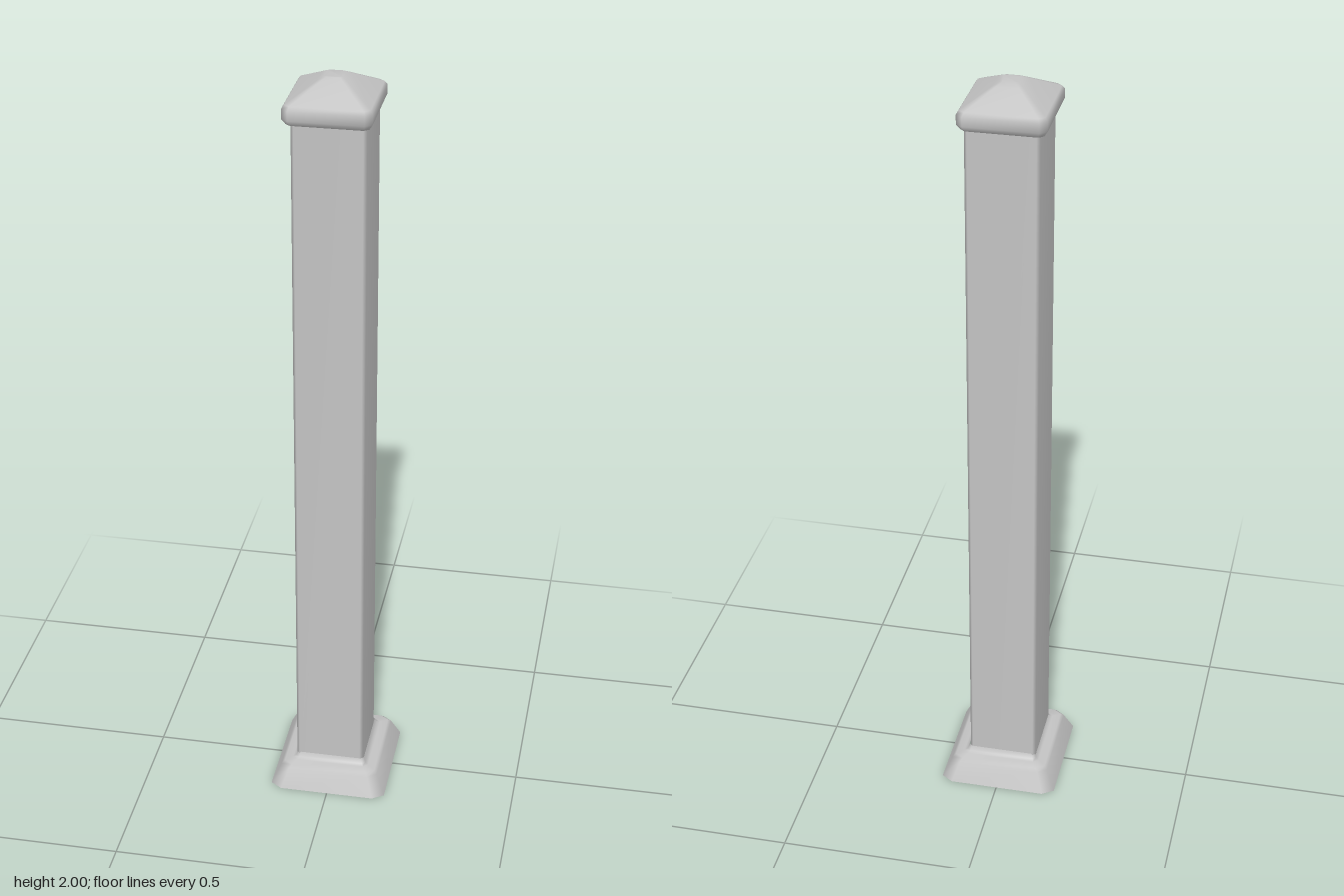
import * as THREE from 'three';

const castMetal = new THREE.MeshStandardMaterial({ color: 0xc3c3c3, side: THREE.DoubleSide });
castMetal.name = 'light grey metal';

// Lofts rectangles with cut corners; each ring is [halfX, halfZ, y, cutX, cutZ].
function loft(name, rings, centreX, closeTop = false) {
  const positions = [];
  const index = [];
  for (const [w, d, y, cx, cz] of rings) {
    const corners = [
      [w, d - cz], [w - cx, d], [cx - w, d], [-w, d - cz],
      [-w, cz - d], [cx - w, -d], [w - cx, -d], [w, cz - d],
    ];
    for (const [x, z] of corners) positions.push(x + centreX, y, z);
  }
  for (let r = 0; r < rings.length - 1; r++) {
    for (let i = 0; i < 8; i++) {
      const a = r * 8 + i;
      const b = r * 8 + (i + 1) % 8;
      index.push(a, a + 8, b, b, a + 8, b + 8);
    }
  }
  if (closeTop) {
    const top = (rings.length - 1) * 8;
    for (let i = 1; i < 7; i++) index.push(top, top + i + 1, top + i);
  }
  const geometry = new THREE.BufferGeometry();
  geometry.setAttribute('position', new THREE.Float32BufferAttribute(positions, 3));
  geometry.setIndex(index);
  geometry.computeVertexNormals();
  const mesh = new THREE.Mesh(geometry, castMetal);
  mesh.name = name;
  return mesh;
}

export function createModel() {
  const group = new THREE.Group();
  group.name = 'post';

  // Flared foot, hollow underneath
  group.add(loft('baseFlange', [
    [0.156, 0.163, 0, 0.030, 0.020],
    [0.132, 0.139, 0.053, 0.024, 0.017],
    [0.124, 0.131, 0.060, 0.022, 0.016],
    [0.104, 0.110, 0.063, 0.013, 0.012],
    [0.096, 0.102, 0.067, 0.009, 0.009],
    [0.091, 0.097, 0.080, 0.008, 0.008],
  ], -0.001));

  // Hollow square shaft with softened corners
  group.add(loft('shaft', [
    [0.091, 0.097, 0.065, 0.008, 0.008],
    [0.091, 0.097, 1.915, 0.008, 0.008],
  ], -0.004));

  // Overhanging cap with a low pyramid top
  group.add(loft('cap', [
    [0.089, 0.095, 1.905, 0.008, 0.008],
    [0.099, 0.107, 1.905, 0.012, 0.010],
    [0.108, 0.118, 1.920, 0.017, 0.013],
    [0.108, 0.118, 1.944, 0.017, 0.013],
    [0.102, 0.111, 1.953, 0.014, 0.012],
    [0.037, 0.040, 1.992, 0.008, 0.008],
    [0.022, 0.025, 2.000, 0.006, 0.006],
  ], -0.006, true));

  return group;
}
